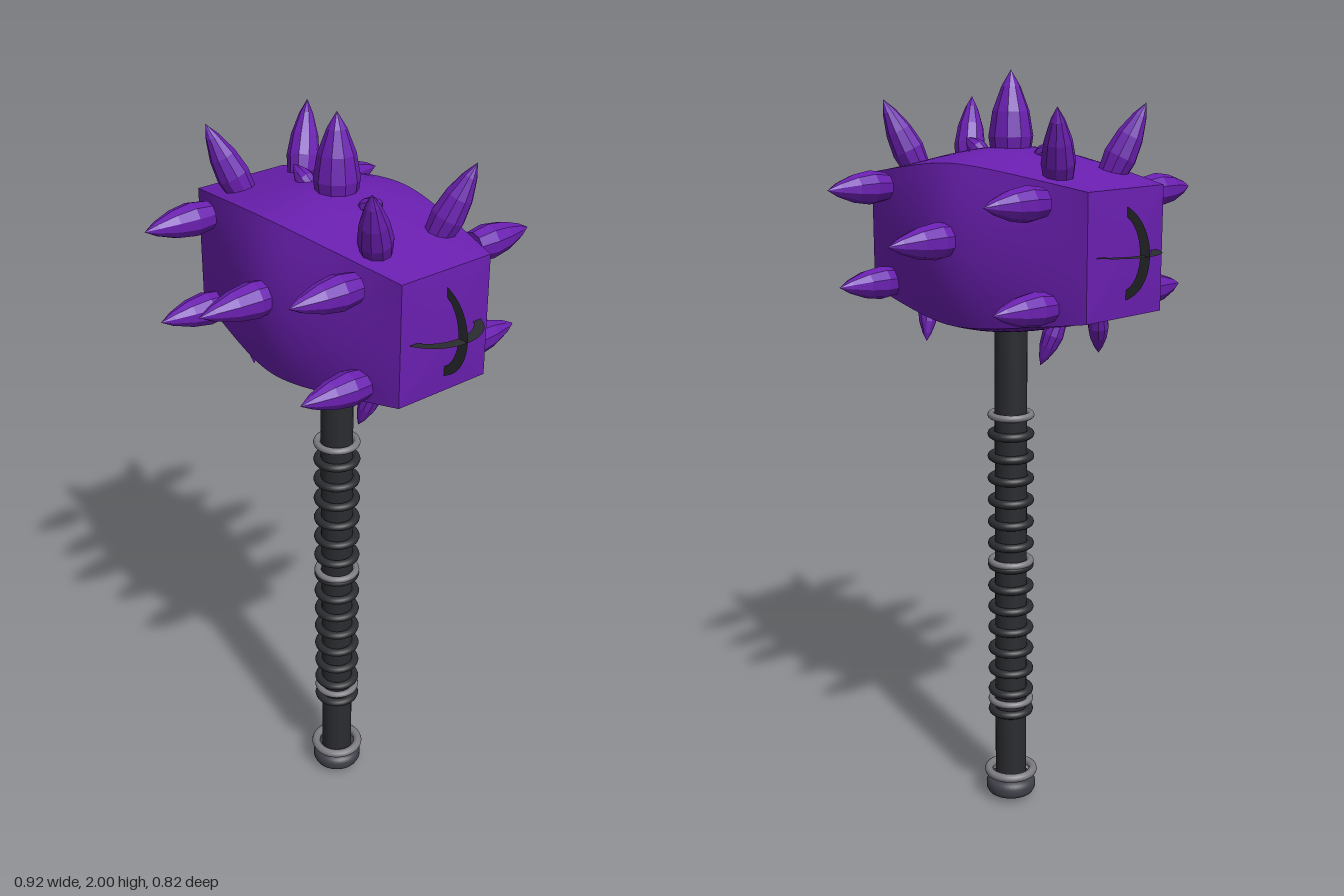
import * as THREE from 'three';

const mat = (color, extra = {}) => new THREE.MeshStandardMaterial({ color, ...extra });

export function createModel() {
  const model = new THREE.Group();
  const purple = mat(0x6a1fb0);
  const purpleFlat = mat(0x6a1fb0, { flatShading: true });
  const black = mat(0x2b2c30);
  const pommelGrey = mat(0x40404a);
  const silver = mat(0x7c7c82);
  const bandMat = mat(0x2b2c30, { side: THREE.DoubleSide });
  const headY = 1.583;

  const add = (name, geometry, material, x = 0, y = 0, z = 0) => {
    const mesh = new THREE.Mesh(geometry, material);
    mesh.name = name;
    mesh.position.set(x, y, z);
    model.add(mesh);
    return mesh;
  };

  // Hammer head: a box swollen towards the middle, with domed long faces
  const headGeo = new THREE.BoxGeometry(2, 2, 2, 32, 12, 12);
  const pos = headGeo.attributes.position;
  const soft = 0.3;
  for (let i = 0; i < pos.count; i++) {
    const x = pos.getX(i), y = pos.getY(i), z = pos.getZ(i);
    const flank = (Math.hypot(x, soft) - soft) / (Math.hypot(1, soft) - soft);
    const swell = 1 - flank;
    const halfY = 0.153 + swell * (0.047 + 0.032 * (1 - z * z));
    const halfZ = 0.135 + swell * (0.064 + 0.034 * (1 - y * y));
    const endDome = 0.006 * (1 - Math.max(y * y, z * z));
    pos.setXYZ(i, x * (0.385 + endDome), y * halfY, z * halfZ);
  }
  headGeo.computeVertexNormals();
  add('head', headGeo, purple, 0, headY, 0);

  // Spikes: one faceted profile stretched from base to tip
  const spikeProfile = [[0, 0], [0.84, 0], [1, 0.27], [0.82, 0.55], [0.42, 0.82], [0, 1]]
    .map(([r, h]) => new THREE.Vector2(r, h));
  const spikeGeo = new THREE.LatheGeometry(spikeProfile, 10);
  const up = new THREE.Vector3(0, 1, 0);
  const spike = (name, base, tip, radius) => {
    const from = new THREE.Vector3(...base);
    const dir = new THREE.Vector3(...tip).sub(from);
    const mesh = add(name, spikeGeo, purpleFlat, ...base);
    mesh.scale.set(radius, dir.length(), radius);
    mesh.quaternion.setFromUnitVectors(up, dir.normalize());
  };

  spike('crownSpike', [0, 1.78, 0], [0, 2, 0], 0.057);
  for (const s of [1, -1]) {
    spike('centreFaceSpike', [0, 1.6, s * 0.2], [0, 1.6, s * 0.41], 0.046);
    spike('smallTopSpike', [s * 0.1, 1.79, 0], [s * 0.165, 1.828, 0], 0.025);
    for (const t of [1, -1]) {
      spike('upperFaceSpike', [s * 0.28, 1.708, t * 0.18], [s * 0.28, 1.71, t * 0.366], 0.043);
      spike('lowerFaceSpike', [s * 0.28, 1.46, t * 0.15], [s * 0.28, 1.463, t * 0.338], 0.043);
      spike('topCornerSpike', [s * 0.252, 1.75, t * 0.092], [s * 0.307, 1.925, t * 0.157], 0.042);
      spike('undersideSpike', [s * 0.236, 1.405, t * 0.075], [s * 0.21, 1.302, t * 0.107], 0.027);
    }
  }

  // Thin crossed bands arching over both ends of the head
  const arch = new THREE.Shape();
  arch.absellipse(0, 0, 0.1, 0.115, -Math.PI / 2, Math.PI / 2, false, 0);
  arch.absellipse(0, 0, 0.07, 0.095, Math.PI / 2, -Math.PI / 2, true, 0);
  const archGeo = new THREE.ShapeGeometry(arch, 20);
  for (const s of [1, -1]) {
    for (const turn of [0, Math.PI / 2]) {
      const band = add('endBand', archGeo, bandMat, s * 0.36, headY, 0);
      band.scale.x = s;
      band.rotation.x = turn;
    }
  }

  // Shaft
  add('shaft', new THREE.CylinderGeometry(0.043, 0.043, 1.36, 32), black, 0, 0.72, 0);

  const ring = (name, y, radius, tube, material) => {
    const mesh = add(name, new THREE.TorusGeometry(radius, tube, 10, 36), material, 0, y, 0);
    mesh.rotation.x = Math.PI / 2;
  };

  // Grip ridges and metal collars
  for (let i = 0; i < 14; i++) ring('gripRidge', 1.068 - i * 0.0615, 0.051, 0.0115, black);
  for (const y of [0.3, 0.71, 1.12]) ring('gripCollar', y, 0.053, 0.0095, silver);
  ring('pommelCollar', 0.08, 0.062, 0.012, silver);

  // Pommel with rounded rims and a jewel underneath
  const pommelProfile = [[0, 0.012], [0.052, 0.012], [0.064, 0.018], [0.069, 0.028],
    [0.069, 0.044], [0.064, 0.054], [0.05, 0.062], [0, 0.062]]
    .map(([r, h]) => new THREE.Vector2(r, h));
  add('pommel', new THREE.LatheGeometry(pommelProfile, 32), pommelGrey);
  const jewel = add('pommelJewel', new THREE.SphereGeometry(0.024, 10, 8), purpleFlat, 0, 0.012, 0);
  jewel.scale.y = 0.5;

  return model;
}
